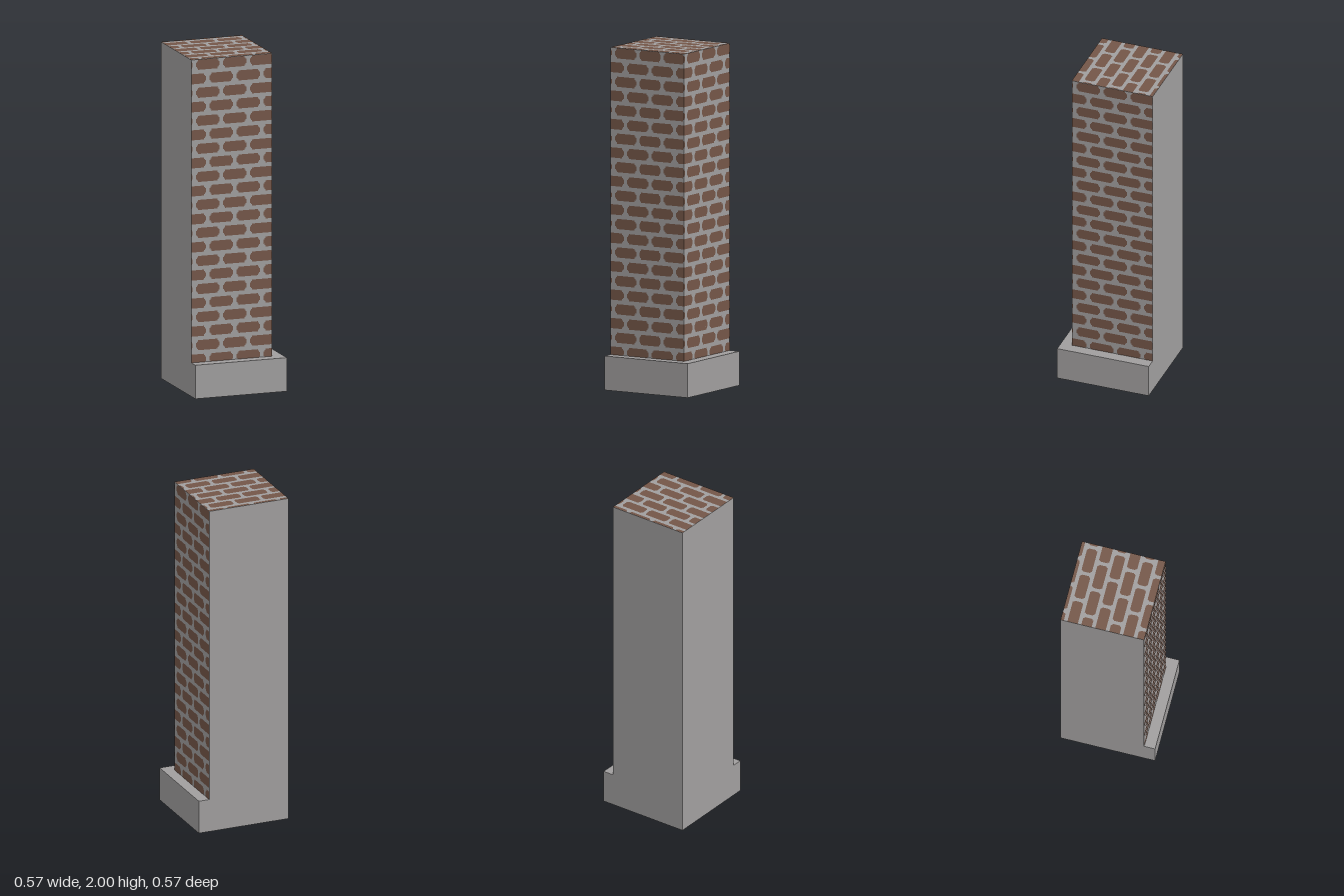
import * as THREE from 'three';
import { mergeGeometries } from 'three/addons/utils/BufferGeometryUtils.js';

const BASE = 0.566, BASE_H = 0.2, SIDE = 0.5, HEIGHT = 1.8;
const PITCH_U = 1 / 6, PITCH_V = 1 / 12, BRICK_W = 0.146;
const LIFT = 0.001;

// Running-bond bricks with stepped corners, clipped to a w x h face (origin at its lower left).
// u0: left edge of a brick in even rows, v0: centre of row 0, steps: [half height, end inset] bands.
function brickFace(w, h, u0, v0, steps) {
  const rects = [];
  const addRect = (a, b, c, d) => {
    a = Math.max(a, 0); b = Math.min(b, w);
    c = Math.max(c, 0); d = Math.min(d, h);
    if (b - a < 1e-4 || d - c < 1e-4) return;
    rects.push(new THREE.PlaneGeometry(b - a, d - c).translate((a + b) / 2, (c + d) / 2, 0));
  };
  for (let k = -2; v0 + (k - 1) * PITCH_V < h; k++) {
    const v = v0 + k * PITCH_V;
    const shift = k % 2 ? PITCH_U / 2 : 0;
    for (let u = u0 + shift - 2 * PITCH_U; u < w; u += PITCH_U) {
      let inner = 0;
      steps.forEach(([half, inset], i) => {
        const a = u + inset, b = u + BRICK_W - inset;
        if (i === 0) addRect(a, b, v - half, v + half);
        else {
          addRect(a, b, v + inner, v + half);
          addRect(a, b, v - half, v - inner);
        }
        inner = half;
      });
    }
  }
  return mergeGeometries(rects);
}

export function createModel() {
  const group = new THREE.Group();
  const stone = new THREE.MeshStandardMaterial({ color: 0xa09e9e });
  stone.name = 'grey mortar';
  const brick = new THREE.MeshStandardMaterial({ color: 0x745648 });
  brick.name = 'brown brick';

  const add = (name, geometry, material, x, y, z) => {
    const mesh = new THREE.Mesh(geometry, material);
    mesh.name = name;
    mesh.position.set(x, y, z);
    group.add(mesh);
    return mesh;
  };

  // Plinth and the shaft set into its back corner
  const lo = -BASE / 2, hi = lo + SIDE, mid = (lo + hi) / 2;
  add('plinth', new THREE.BoxGeometry(BASE, BASE_H, BASE), stone, 0, BASE_H / 2, 0);
  add('shaft', new THREE.BoxGeometry(SIDE, HEIGHT, SIDE), stone, mid, BASE_H + HEIGHT / 2, mid);

  // Brickwork on the front and left walls
  const wallSteps = [[0.013, 0], [0.021, 0.006], [0.03, 0.013]];
  const wall = brickFace(SIDE, HEIGHT, 0.029, 0.102, wallSteps);
  add('frontBricks', wall, brick, lo, BASE_H, hi + LIFT);
  add('leftBricks', wall, brick, hi + LIFT, BASE_H, hi).rotation.y = Math.PI / 2;

  // Brickwork on the top, rows running along x
  const topSteps = [[0.0205, 0], [0.026, 0.004], [0.031, 0.008]];
  const top = brickFace(SIDE, SIDE, 0.0715, 0.0115, topSteps);
  add('topBricks', top, brick, lo, BASE_H + HEIGHT + LIFT, hi).rotation.x = -Math.PI / 2;

  return group;
}
